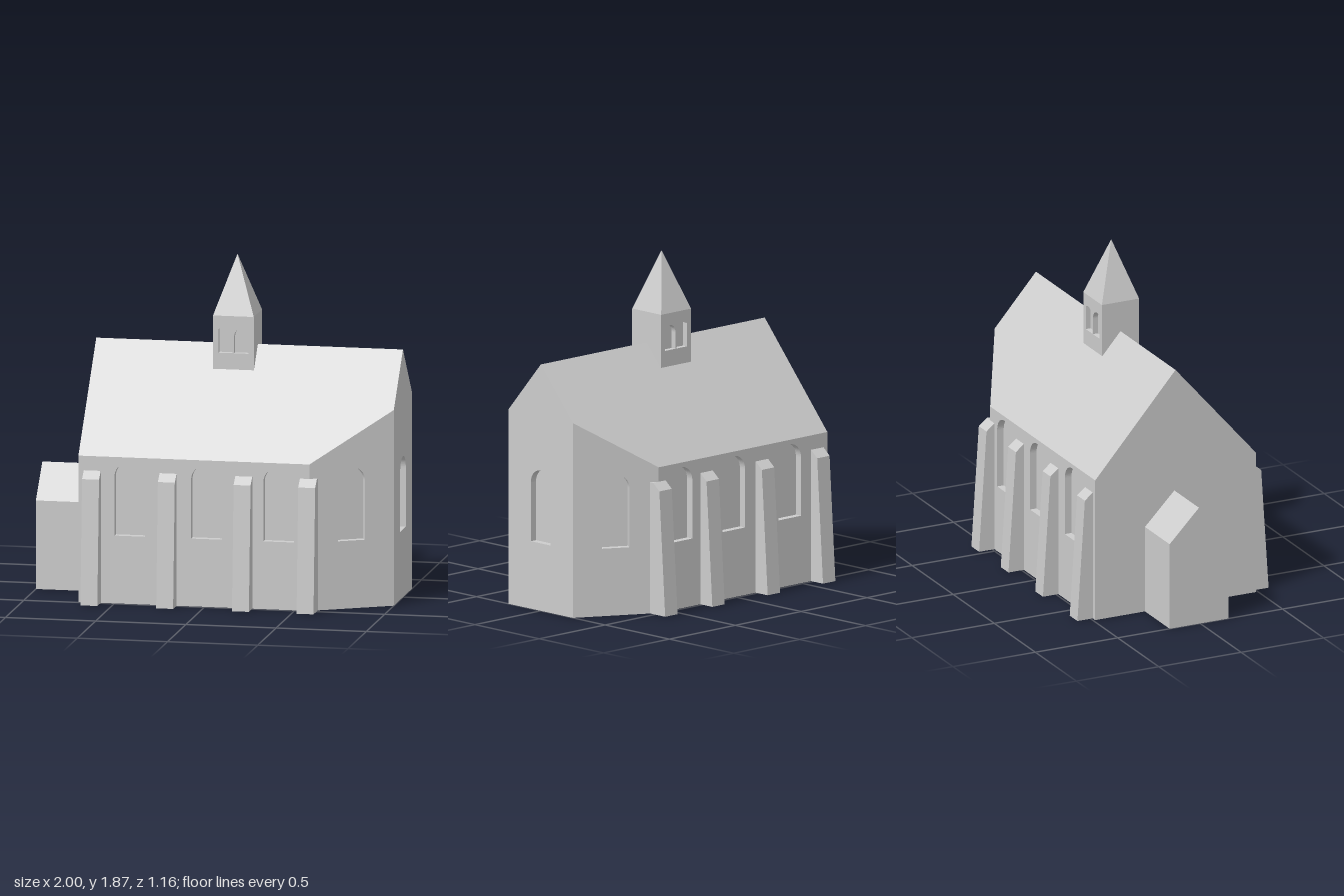
import * as THREE from 'three';

const stone = new THREE.MeshStandardMaterial({ color: 0xcccccc, flatShading: true });
stone.name = 'pale stone';

const RIDGE = 1.37, HALF = 0.487, END = 0.25;
const roofY = z => RIDGE - 1.15 * Math.abs(z);

function add(parent, name, geometry) {
  const mesh = new THREE.Mesh(geometry, stone);
  mesh.name = name;
  parent.add(mesh);
  return mesh;
}

// Flat convex polygon, corners counter-clockwise seen from outside
function polygon(points) {
  const pos = [];
  for (let i = 1; i < points.length - 1; i++) pos.push(...points[0], ...points[i], ...points[i + 1]);
  const g = new THREE.BufferGeometry();
  g.setAttribute('position', new THREE.Float32BufferAttribute(pos, 3));
  g.computeVertexNormals();
  return g;
}

// Round-headed opening centred on x
function arch(target, x, width, bottom, top) {
  const r = width / 2;
  target.moveTo(x - r, bottom);
  target.lineTo(x + r, bottom);
  target.lineTo(x + r, top - r);
  target.absarc(x, top - r, r, 0, Math.PI, false);
  target.lineTo(x - r, bottom);
  return target;
}

// Upright wall from plan point a to b; outline is in (distance along wall, height)
function wall(parent, name, a, b, outline, openings = [], depth = 0.04) {
  const group = new THREE.Group();
  group.name = name;
  group.position.set(a[0], 0, a[1]);
  group.rotation.y = Math.atan2(a[1] - b[1], b[0] - a[0]);
  const shape = new THREE.Shape(outline.map(p => new THREE.Vector2(...p)));
  for (const o of openings) {
    shape.holes.push(arch(new THREE.Path(), ...o));
    add(group, 'windowBack', new THREE.ShapeGeometry(arch(new THREE.Shape(), ...o), 16)).position.z = -depth;
  }
  const panel = new THREE.ExtrudeGeometry(shape, { depth, bevelEnabled: false, curveSegments: 16 });
  add(group, 'wallPanel', panel).position.z = -depth;
  parent.add(group);
}

export function createModel() {
  const model = new THREE.Group();
  model.name = 'chapel';

  // Nave and three-sided choir walls, going round the plan
  const plan = [[-0.7, HALF], [0.58, HALF], [1, END], [1, -END], [0.58, -HALF], [-0.7, -HALF]];
  const names = ['frontWall', 'frontChoirWall', 'endWall', 'backChoirWall', 'backWall', 'entranceWall'];
  plan.forEach((a, i) => {
    const b = plan[(i + 1) % plan.length];
    const length = Math.hypot(b[0] - a[0], b[1] - a[1]);
    const gable = a[0] === b[0];
    const outline = [[0, 0], [length, 0], [length, roofY(b[1])]];
    if (gable) outline.push([length / 2, RIDGE]);
    outline.push([0, roofY(a[1])]);
    let windows = [[length / 2, 0.155, 0.375, 0.78]];
    if (i === 0 || i === 4) windows = [-0.415, 0.01, 0.41].map(x => [Math.abs(x - a[0]), 0.17, 0.375, 0.785]);
    if (i === 5) windows = [];
    wall(model, names[i], a, b, outline, windows);
  });

  // Floor and the two roof slopes, cut by the choir plan
  add(model, 'floor', polygon(plan.map(([x, z]) => [x, 0, z]).reverse()));
  for (const s of [1, -1]) {
    const slope = [[-0.7, HALF], [0.58, HALF], [1, END], [1, 0], [-0.7, 0]].map(([x, z]) => [x, roofY(z), s * z]);
    add(model, s > 0 ? 'frontRoof' : 'backRoof', polygon(s > 0 ? slope : slope.reverse()));
  }

  // Tapered buttresses with sloping caps
  const profile = [[0.44, 0], [0.58, 0], [0.535, 0.69], [HALF, 0.73], [0.44, 0.73]];
  const buttress = new THREE.ExtrudeGeometry(
    new THREE.Shape(profile.map(p => new THREE.Vector2(...p))), { depth: 0.094, bevelEnabled: false });
  buttress.translate(0, 0, -0.047);
  for (const x of [-0.623, -0.203, 0.217, 0.575]) {
    for (const s of [1, -1]) {
      const mesh = add(model, 'buttress', buttress);
      mesh.position.x = x;
      mesh.rotation.y = -s * Math.PI / 2;
    }
  }

  // Gabled porch
  const porchShape = new THREE.Shape(
    [[-0.178, 0], [0.178, 0], [0.178, 0.49], [0, 0.672], [-0.178, 0.49]].map(p => new THREE.Vector2(...p)));
  const porch = add(model, 'porch', new THREE.ExtrudeGeometry(porchShape, { depth: 0.3, bevelEnabled: false }));
  porch.rotation.y = Math.PI / 2;
  porch.position.set(-1, 0, -0.007);

  // Bell turret astride the ridge, with paired openings front and back
  const turret = new THREE.Group();
  turret.name = 'bellTurret';
  turret.position.x = 0.083;
  const h = 0.113, base = 1.245, eave = 1.54;
  const corners = [[-h, h], [h, h], [h, -h], [-h, -h]];
  corners.forEach((a, i) => {
    const outline = [[0, base], [2 * h, base], [2 * h, eave], [0, eave]];
    const bells = i % 2 ? [] : [[h - 0.054, 0.1, 1.335, 1.475], [h + 0.054, 0.1, 1.335, 1.475]];
    wall(turret, 'turretWall', a, corners[(i + 1) % 4], outline, bells, 0.03);
  });
  const spire = add(turret, 'spire', new THREE.ConeGeometry(h * Math.SQRT2, 0.325, 4));
  spire.position.y = eave + 0.1625;
  spire.rotation.y = Math.PI / 4;
  model.add(turret);

  return model;
}
